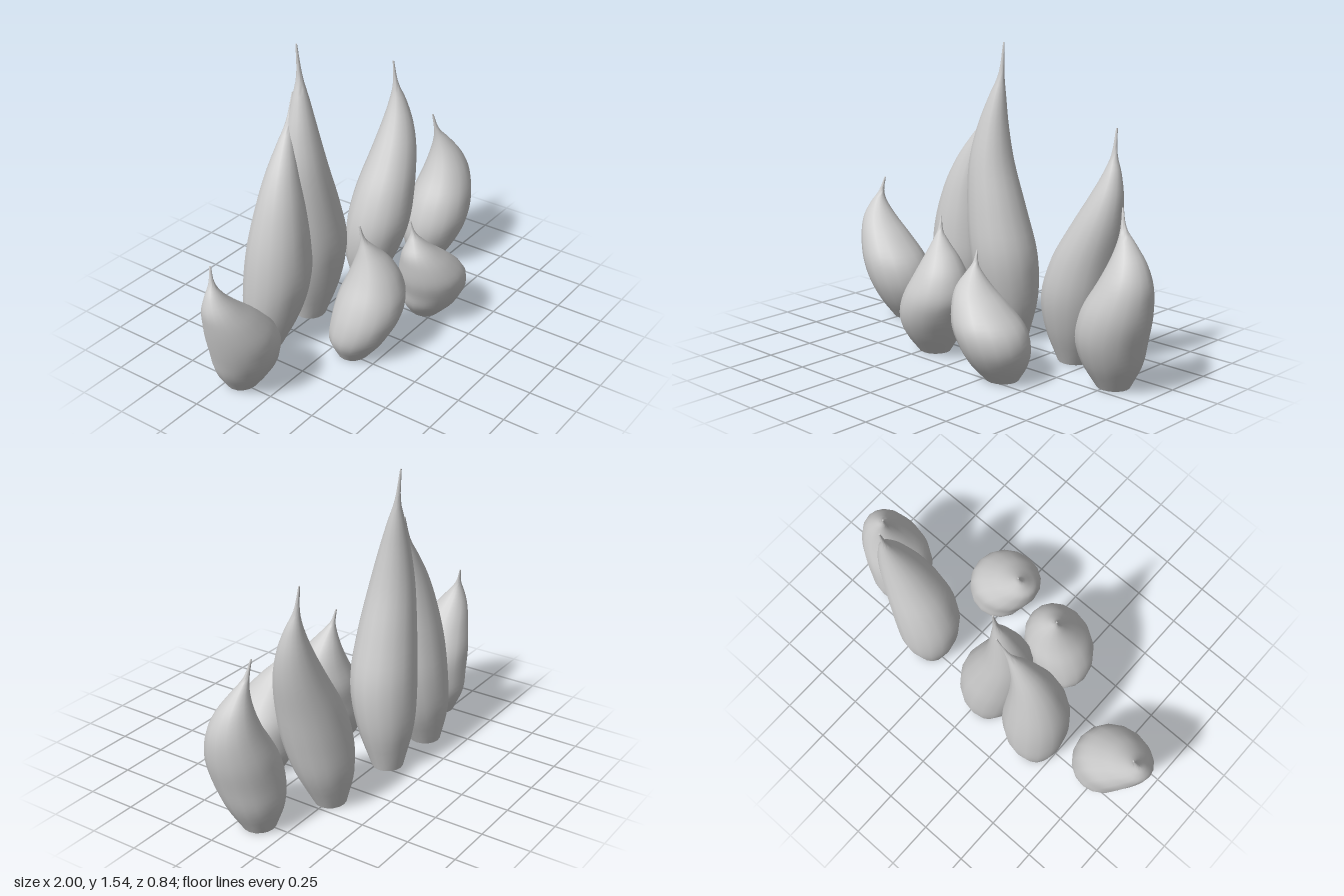
import * as THREE from 'three';
import { mergeVertices, toCreasedNormals } from 'three/addons/utils/BufferGeometryUtils.js';

// Heights along a flame (0 = base, 1 = tip) shared by all the tables below
const T = [0, 0.15, 0.3, 0.45, 0.6, 0.72, 0.82, 0.9, 1];
// Radius profiles: a short flame is fuller, a tall one thins out earlier
const SHORT = [0.08, 0.145, 0.172, 0.175, 0.137, 0.092, 0.045, 0.014, 0.004];
const TALL = [0.08, 0.148, 0.172, 0.152, 0.118, 0.082, 0.046, 0.015, 0.004];
// Every flame bellies forward a little and returns at the tip
const BELLY = [0, 0.02, 0.045, 0.055, 0.055, 0.045, 0.03, 0.015, 0];

// Height, base depth and sideways sway of the centre line
const FLAMES = [
  { name: 'rightFlame', h: 0.75, z: -0.19, x: [-0.73, -0.735, -0.75, -0.785, -0.85, -0.905, -0.928, -0.924, -0.91] },
  { name: 'backLeaningFlame', h: 1.3, z: -0.30, x: [-0.40, -0.375, -0.358, -0.352, -0.333, -0.30, -0.25, -0.20, -0.145] },
  { name: 'tallestFlame', h: 1.54, z: -0.29, x: [-0.05, -0.055, -0.072, -0.113, -0.15, -0.152, -0.137, -0.122, -0.12] },
  { name: 'frontRightFlame', h: 0.71, z: 0.11, x: [-0.22, -0.212, -0.182, -0.142, -0.12, -0.124, -0.145, -0.162, -0.17] },
  { name: 'frontLeftFlame', h: 0.61, z: 0.19, x: [0.32, 0.315, 0.31, 0.28, 0.226, 0.18, 0.163, 0.157, 0.155] },
  { name: 'backLeftFlame', h: 1.2, z: -0.25, x: [0.40, 0.42, 0.445, 0.495, 0.567, 0.615, 0.637, 0.637, 0.636] },
  { name: 'leftFlame', h: 0.87, z: -0.10, x: [0.765, 0.77, 0.785, 0.82, 0.861, 0.867, 0.845, 0.815, 0.797] },
];

// Bend and swell a unit cylinder along the flame's centre line
function flameGeometry({ h, z, x }) {
  const k = THREE.MathUtils.clamp((h - 0.61) / 0.93, 0, 1);
  const spine = new THREE.CatmullRomCurve3(
    T.map((t, i) => new THREE.Vector3(x[i], t * h, z + BELLY[i])), false, 'catmullrom');
  const profile = new THREE.CatmullRomCurve3(
    T.map((t, i) => new THREE.Vector3(THREE.MathUtils.lerp(SHORT[i], TALL[i], k), 0, 0)), false, 'catmullrom');

  const geo = new THREE.CylinderGeometry(1, 1, 1, 16, 32);
  const pos = geo.attributes.position;
  for (let i = 0; i < pos.count; i++) {
    const v = THREE.MathUtils.clamp(pos.getY(i) + 0.5, 0, 1);
    const c = spine.getPoint(v);
    const r = profile.getPoint(v).x;
    pos.setXYZ(i, c.x + pos.getX(i) * r * 1.03, c.y, c.z + pos.getZ(i) * r * 0.97);
  }
  // Weld the seam, then smooth everything except the rim of the flat base
  geo.deleteAttribute('uv');
  geo.deleteAttribute('normal');
  return toCreasedNormals(mergeVertices(geo, 1e-5), 0.75);
}

export function createModel() {
  const group = new THREE.Group();
  group.name = 'flames';
  const grey = new THREE.MeshStandardMaterial({ color: 0xcccccc });
  grey.name = 'light grey';
  for (const flame of FLAMES) {
    const mesh = new THREE.Mesh(flameGeometry(flame), grey);
    mesh.name = flame.name;
    group.add(mesh);
  }
  return group;
}
